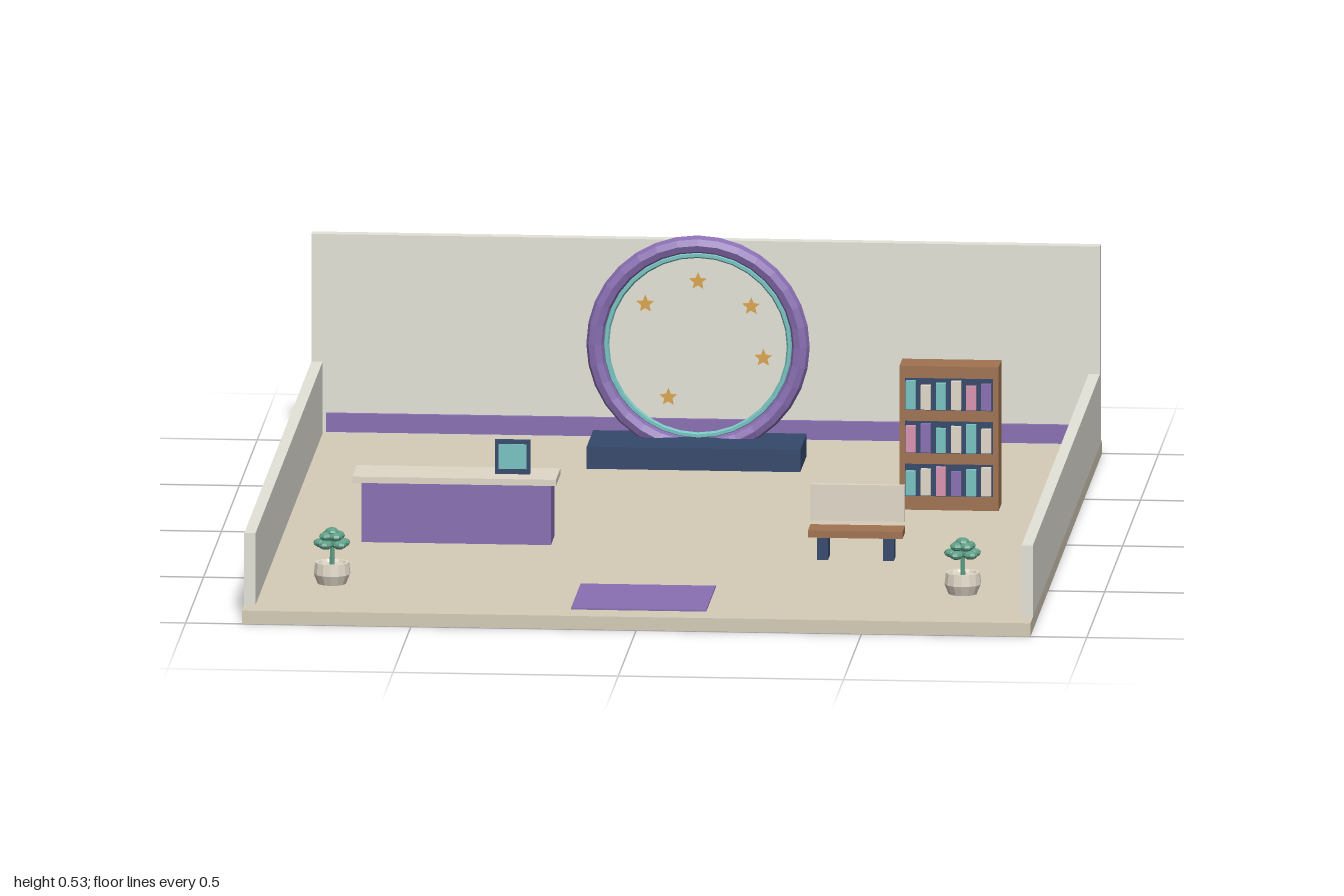
import * as THREE from 'three';

const COLORS = {
  floor: 0xd6ccb8, wall: 0xe4e3d8, purple: 0x8a6fb3, navy: 0x34496b, teal: 0x78c4c2,
  wood: 0xa07350, cream: 0xe0d8c8, leaf: 0x5f9f87, gold: 0xdba64f, pink: 0xd993b0,
};
const materials = {};
for (const [name, color] of Object.entries(COLORS)) {
  materials[name] = new THREE.MeshStandardMaterial({ color, flatShading: true });
}

function add(parent, name, geometry, color, x = 0, y = 0, z = 0) {
  const mesh = new THREE.Mesh(geometry, materials[color]);
  mesh.name = name;
  mesh.position.set(x, y, z);
  parent.add(mesh);
  return mesh;
}

// Box given by its lower and upper limits on each axis
function box(parent, name, color, [x0, x1], [y0, y1], [z0, z1]) {
  return add(parent, name, new THREE.BoxGeometry(x1 - x0, y1 - y0, z1 - z0), color,
    (x0 + x1) / 2, (y0 + y1) / 2, (z0 + z1) / 2);
}

function group(parent, name, x = 0, y = 0, z = 0) {
  const g = new THREE.Group();
  g.name = name;
  g.position.set(x, y, z);
  parent.add(g);
  return g;
}

const FLOOR = 0.03;

function buildRoom(parent) {
  const room = group(parent, 'room');
  box(room, 'floor', 'floor', [-0.875, 0.875], [0, FLOOR], [-1, 1]);
  box(room, 'backWall', 'wall', [-0.875, 0.875], [FLOOR, 0.48], [-0.967, -0.94]);
  box(room, 'rightWall', 'wall', [-0.875, -0.85], [FLOOR, 0.192], [-0.94, 0.935]);
  box(room, 'leftWall', 'wall', [0.85, 0.875], [FLOOR, 0.192], [-0.94, 0.935]);
  box(room, 'wallStripe', 'purple', [-0.842, 0.842], [0.035, 0.077], [-0.94, -0.93]);
  box(room, 'doorMat', 'purple', [-0.15, 0.15], [FLOOR, 0.034], [0.665, 0.93]);
}

function starGeometry(radius) {
  const shape = new THREE.Shape();
  for (let i = 0; i < 10; i++) {
    const r = i % 2 ? radius * 0.45 : radius;
    const a = Math.PI / 2 + (i * Math.PI) / 5;
    shape[i ? 'lineTo' : 'moveTo'](r * Math.cos(a), r * Math.sin(a));
  }
  shape.closePath();
  return new THREE.ExtrudeGeometry(shape, { depth: 0.006, bevelEnabled: false });
}

// Ring on a platform, with stars floating inside
function buildPortal(parent) {
  box(parent, 'portalPlatform', 'navy', [-0.237, 0.237], [FLOOR, 0.08], [-0.78, -0.6]);
  const portal = group(parent, 'portal', 0, 0.287, -0.727);
  add(portal, 'outerRing', new THREE.TorusGeometry(0.228, 0.02, 8, 32), 'purple');
  add(portal, 'innerRing', new THREE.TorusGeometry(0.204, 0.007, 6, 32), 'teal');
  const star = starGeometry(0.02);
  for (const [x, y] of [[0, 0.145], [-0.117, 0.092], [0.118, 0.09], [0.145, -0.026], [-0.066, -0.118]]) {
    add(portal, 'star', star, 'gold', x, y, 0);
  }
}

function buildDesk(parent) {
  const desk = group(parent, 'desk');
  box(desk, 'deskBody', 'purple', [-0.67, -0.25], [FLOOR, 0.166], [0.135, 0.235]);
  box(desk, 'deskTop', 'cream', [-0.69, -0.238], [0.166, 0.18], [0.12, 0.247]);
  box(desk, 'monitor', 'navy', [-0.378, -0.3], [0.18, 0.256], [0.178, 0.192]);
  box(desk, 'screen', 'teal', [-0.37, -0.308], [0.192, 0.248], [0.192, 0.194]);
}

function buildBookcase(parent) {
  const shelf = group(parent, 'bookcase');
  box(shelf, 'bookcaseBody', 'wood', [0.488, 0.708], [FLOOR, 0.355], [-0.29, -0.212]);
  const bookColors = ['teal', 'cream', 'pink', 'purple', 'teal', 'cream'];
  for (let row = 0; row < 3; row++) {
    const y = 0.066 + row * 0.097;
    box(shelf, 'shelfRecess', 'navy', [0.5, 0.696], [y - 0.004, y + 0.068], [-0.213, -0.209]);
    for (let i = 0; i < 6; i++) {
      const x = 0.503 + i * 0.0335;
      const height = 0.054 + 0.005 * ((i + row) % 3);
      box(shelf, 'book', bookColors[(i + row * 2) % 6], [x, x + 0.022], [y, y + height], [-0.21, -0.195]);
    }
  }
}

function buildBench(parent) {
  const bench = group(parent, 'bench');
  box(bench, 'benchSeat', 'wood', [0.33, 0.54], [0.082, 0.098], [0.288, 0.358]);
  box(bench, 'benchBack', 'cream', [0.33, 0.54], [0.108, 0.19], [0.284, 0.296]);
  for (const x of [0.362, 0.508]) {
    box(bench, 'benchLeg', 'navy', [x - 0.012, x + 0.012], [FLOOR, 0.082], [0.298, 0.348]);
  }
}

function buildPlant(parent, x) {
  const plant = group(parent, 'plant', x, FLOOR, 0.685);
  const profile = [[0, 0], [0.032, 0], [0.041, 0.022], [0.038, 0.048], [0.031, 0.048], [0.028, 0.042], [0, 0.042]];
  add(plant, 'pot', new THREE.LatheGeometry(profile.map(([r, y]) => new THREE.Vector2(r, y)), 14), 'cream');
  add(plant, 'stem', new THREE.CylinderGeometry(0.005, 0.006, 0.06, 6), 'leaf', 0, 0.07, 0);
  // Two tiers of flattened leaves and a crown
  const leaf = new THREE.SphereGeometry(0.018, 8, 6);
  for (const [count, radius, y] of [[5, 0.025, 0.09], [4, 0.014, 0.107], [1, 0, 0.116]]) {
    for (let i = 0; i < count; i++) {
      const a = (i / count) * Math.PI * 2 + y * 9;
      const mesh = add(plant, 'leaf', leaf, 'leaf', radius * Math.cos(a), y, radius * Math.sin(a));
      mesh.scale.set(1, 0.55, 0.85);
      mesh.rotation.set(0, -a, 0);
    }
  }
}

export function createModel() {
  const model = new THREE.Group();
  model.name = 'lobby';
  buildRoom(model);
  buildPortal(model);
  buildDesk(model);
  buildBookcase(model);
  buildBench(model);
  for (const side of [-1, 1]) buildPlant(model, side * 0.7);
  return model;
}
